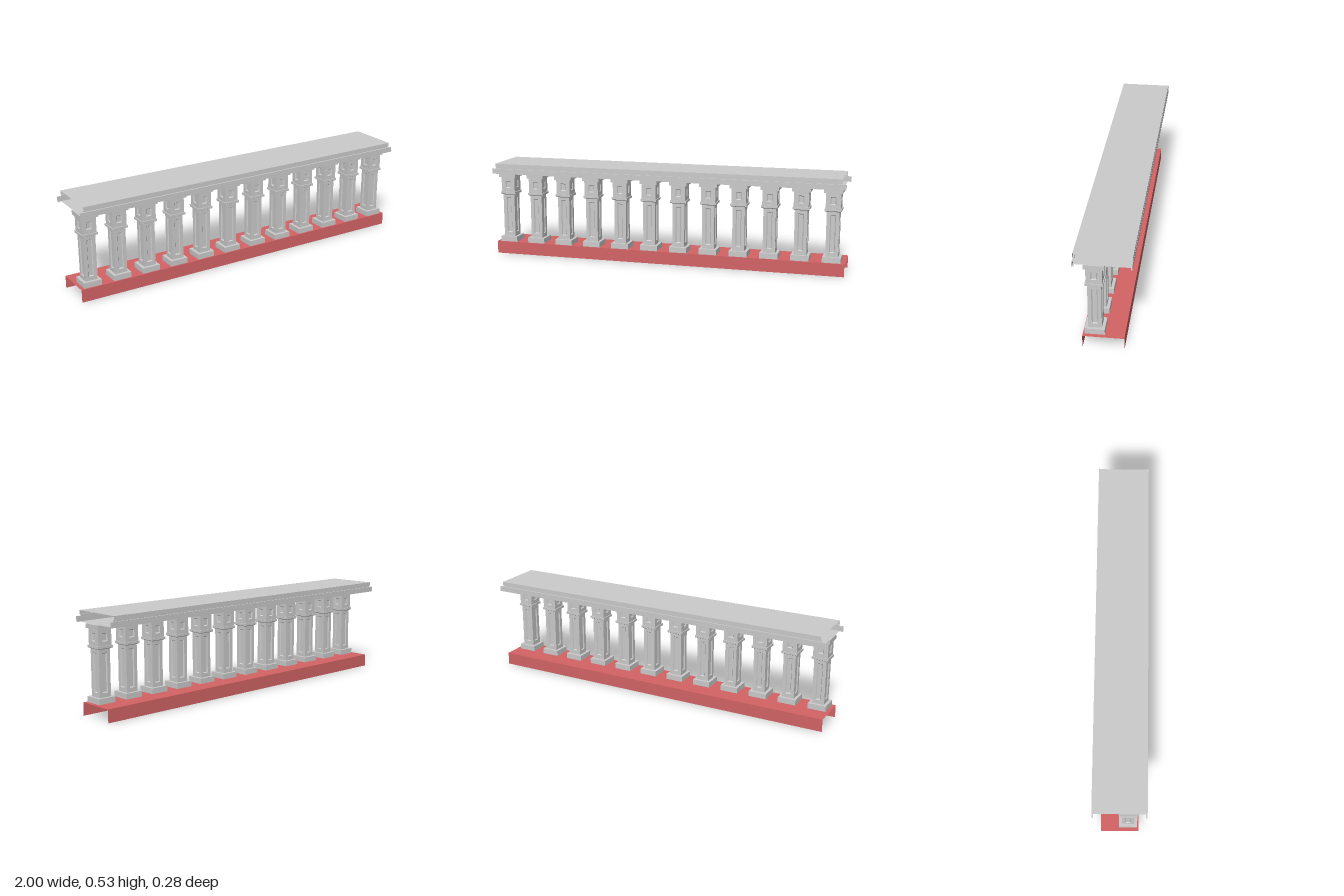
import * as THREE from 'three';
import { mergeGeometries } from 'three/addons/utils/BufferGeometryUtils.js';

const stone = new THREE.MeshStandardMaterial({ color: 0xcccccc, side: THREE.DoubleSide, flatShading: true });
const red = new THREE.MeshStandardMaterial({ color: 0xd46466, side: THREE.DoubleSide, flatShading: true });

function mesh(name, geometry, material = stone) {
  const m = new THREE.Mesh(geometry, material);
  m.name = name;
  return m;
}

function fromTriangles(positions) {
  const g = new THREE.BufferGeometry();
  g.setAttribute('position', new THREE.Float32BufferAttribute(positions, 3));
  g.computeVertexNormals();
  return g;
}

// Open sheet: a [z, y] profile drawn out along x
function sheet(profile, half) {
  const out = [];
  for (let i = 0; i + 1 < profile.length; i++) {
    const [z0, y0] = profile[i], [z1, y1] = profile[i + 1];
    out.push(-half, y0, z0, -half, y1, z1, half, y1, z1);
    out.push(-half, y0, z0, half, y1, z1, half, y0, z0);
  }
  return fromTriangles(out);
}

// Square block whose four sides each carry a bevelled, sunken panel
function panelledBlock(half, y0, y1, panelHalf, p0, p1) {
  const rect = (w, a, b, z) => [[-w, a, z], [w, a, z], [w, b, z], [-w, b, z]];
  const bevel = 0.004;
  const rings = [
    rect(half, y0, y1, half),
    rect(panelHalf, p0, p1, half),
    rect(panelHalf - bevel, p0 + bevel, p1 - bevel, half - 0.006),
  ];
  const out = [];
  const quad = (a, b, c, d) => out.push(...a, ...b, ...c, ...a, ...c, ...d);
  for (let r = 0; r < 2; r++) {
    for (let i = 0; i < 4; i++) {
      const j = (i + 1) % 4;
      quad(rings[r][i], rings[r][j], rings[r + 1][j], rings[r + 1][i]);
    }
  }
  quad(...rings[2]);
  const side = fromTriangles(out);
  return mergeGeometries([0, 1, 2, 3].map((k) => side.clone().rotateY((k * Math.PI) / 2)));
}

function slab(width, y0, y1) {
  return new THREE.BoxGeometry(width, y1 - y0, width).translate(0, (y0 + y1) / 2, 0);
}

// Square frustum for the small taper under the collar
function taper(bottom, top, y0, y1) {
  return new THREE.CylinderGeometry(top * Math.SQRT1_2, bottom * Math.SQRT1_2, y1 - y0, 4)
    .rotateY(Math.PI / 4).translate(0, (y0 + y1) / 2, 0);
}

const postParts = {
  postFoot: slab(0.1, 0.067, 0.1),
  postShaft: panelledBlock(0.034, 0.1, 0.347, 0.015, 0.123, 0.326),
  postCollarTaper: taper(0.07, 0.09, 0.345, 0.35),
  postCollar: slab(0.09, 0.35, 0.362),
  postHead: panelledBlock(0.04, 0.362, 0.447, 0.015, 0.384, 0.425),
  postCap: slab(0.1, 0.447, 0.47),
};

export function createModel() {
  const model = new THREE.Group();
  model.name = 'balustrade';

  // Plinth: channel open below and at both ends
  const d = 0.103;
  model.add(mesh('plinth', sheet([[d, 0], [d, 0.07], [-d, 0.07], [-d, 0]], 1), red));

  // Row of posts, set towards the front
  const count = 12;
  for (let i = 0; i < count; i++) {
    const post = new THREE.Group();
    post.name = 'post';
    for (const [name, geometry] of Object.entries(postParts)) post.add(mesh(name, geometry));
    post.position.set(-0.931 + 0.1691 * i, 0, 0.045);
    model.add(post);
  }

  // Handrail: top board, stepped side mouldings and underside
  const rail = new THREE.Group();
  rail.name = 'handrail';
  const w = 0.142, neck = 0.134;
  rail.add(mesh('railTop', sheet([
    [neck, 0.503], [neck, 0.511], [w, 0.511], [w, 0.532],
    [-w, 0.532], [-w, 0.511], [-neck, 0.511], [-neck, 0.503],
  ], 0.98)));
  for (const s of [1, -1]) {
    rail.add(mesh('railMoulding', sheet([[s * neck, 0.503], [s * w, 0.503], [s * w, 0.474], [s * neck, 0.474]], 1)));
  }
  rail.add(mesh('railUnderside', sheet([[neck, 0.474], [-neck, 0.474]], 0.98)));
  model.add(rail);

  return model;
}
